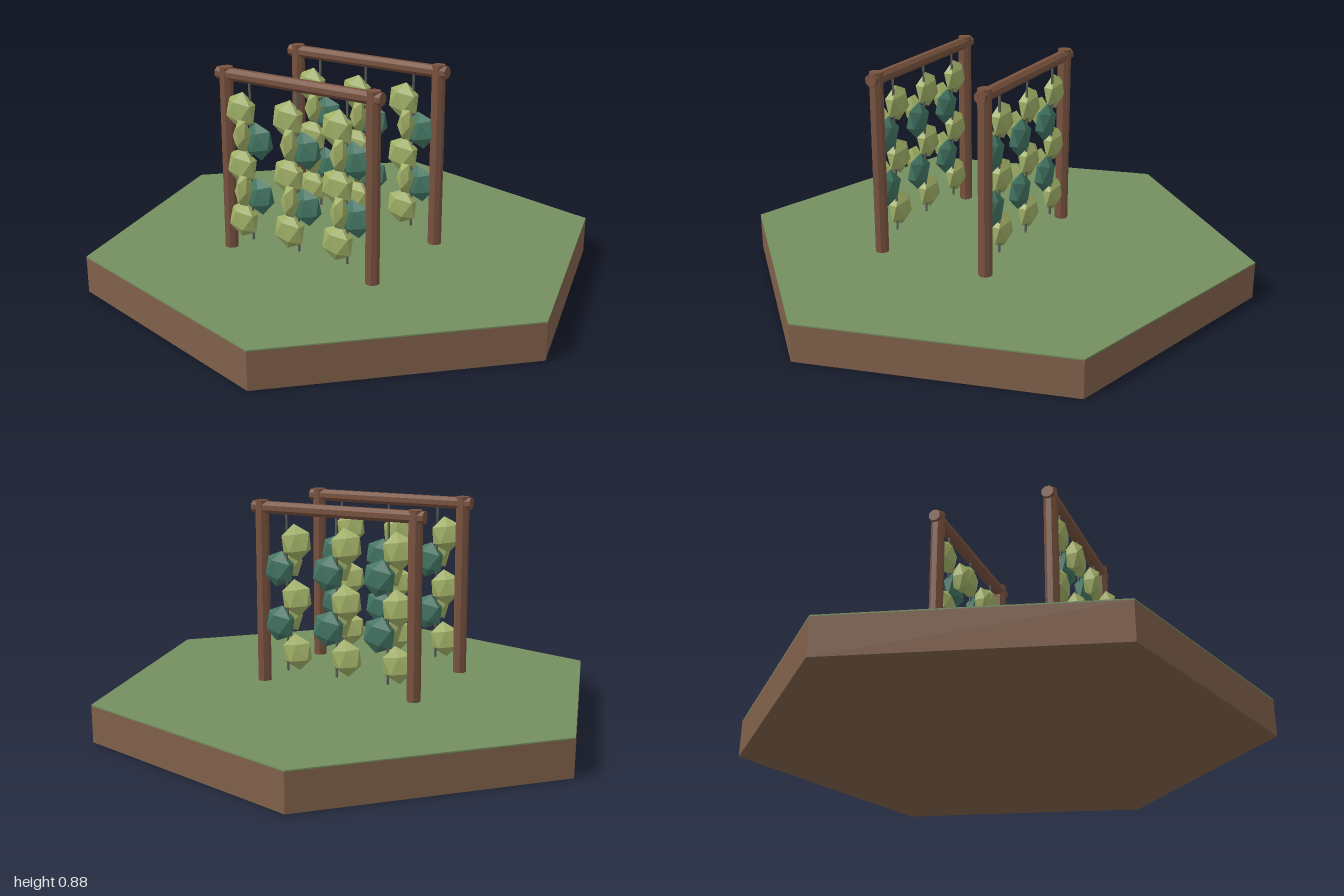
import * as THREE from 'three';

const material = (name, color) => {
  const m = new THREE.MeshStandardMaterial({ color, flatShading: true });
  m.name = name;
  return m;
};

export function createModel() {
  const soil = material('soil brown', 0x80604a);
  const grass = material('grass green', 0x748f60);
  const wood = material('wood brown', 0x78523f);
  const string = material('string grey', 0x5c5c58);
  const lightLeaf = material('light leaf green', 0xa0af66);
  const darkLeaf = material('dark leaf green', 0x427462);

  const model = new THREE.Group();
  model.name = 'hangingGarden';

  const add = (parent, name, geometry, mat, x = 0, y = 0, z = 0) => {
    const mesh = new THREE.Mesh(geometry, mat);
    mesh.name = name;
    mesh.position.set(x, y, z);
    parent.add(mesh);
    return mesh;
  };

  // Hexagonal ground tile with a thin grass skin
  const hexagon = (height) => new THREE.CylinderGeometry(1.035, 1.035, height, 6, 1, false, Math.PI / 12);
  add(model, 'soilBase', hexagon(0.144), soil, 0, 0.072, 0);
  add(model, 'grassTop', hexagon(0.005), grass, 0, 0.1465, 0);

  // Shared geometries for the trellises
  const postGeometry = new THREE.CylinderGeometry(0.027, 0.027, 0.735, 8, 1, false, Math.PI / 8);
  const beamGeometry = new THREE.CylinderGeometry(0.025, 0.025, 0.735, 8, 1, false, Math.PI / 8).rotateZ(Math.PI / 2);
  const stringGeometry = new THREE.CylinderGeometry(0.005, 0.005, 0.64, 5);
  // Flattened leaf clumps turned in the plane of the trellis
  const clump = (turn) => new THREE.IcosahedronGeometry(0.075, 0).rotateZ(turn).scale(0.95, 1, 0.47);
  const lightGeometry = clump(0.4);
  const darkGeometry = clump(-0.35);
  const budGeometry = new THREE.IcosahedronGeometry(0.07, 0).scale(0.47, 1, 0.56);

  for (const z of [0.33, -0.137]) {
    const trellis = new THREE.Group();
    trellis.name = 'trellis';
    trellis.position.z = z;
    model.add(trellis);

    for (const x of [-0.33, 0.33]) add(trellis, 'post', postGeometry, wood, x, 0.5125);
    add(trellis, 'crossBeam', beamGeometry, wood, 0, 0.853);

    // Three hanging vines
    for (const x of [-0.22, 0, 0.22]) {
      const vine = new THREE.Group();
      vine.name = 'hangingVine';
      vine.position.x = x;
      trellis.add(vine);
      add(vine, 'string', stringGeometry, string, 0, 0.52);
      for (const y of [0.72, 0.5, 0.28]) add(vine, 'lightLeaf', lightGeometry, lightLeaf, -0.038, y, 0.008);
      for (const y of [0.61, 0.39]) {
        add(vine, 'darkLeaf', darkGeometry, darkLeaf, 0.04, y, 0.006);
        add(vine, 'leafBud', budGeometry, lightLeaf, 0, y + 0.027, 0.053);
      }
    }
  }
  return model;
}
